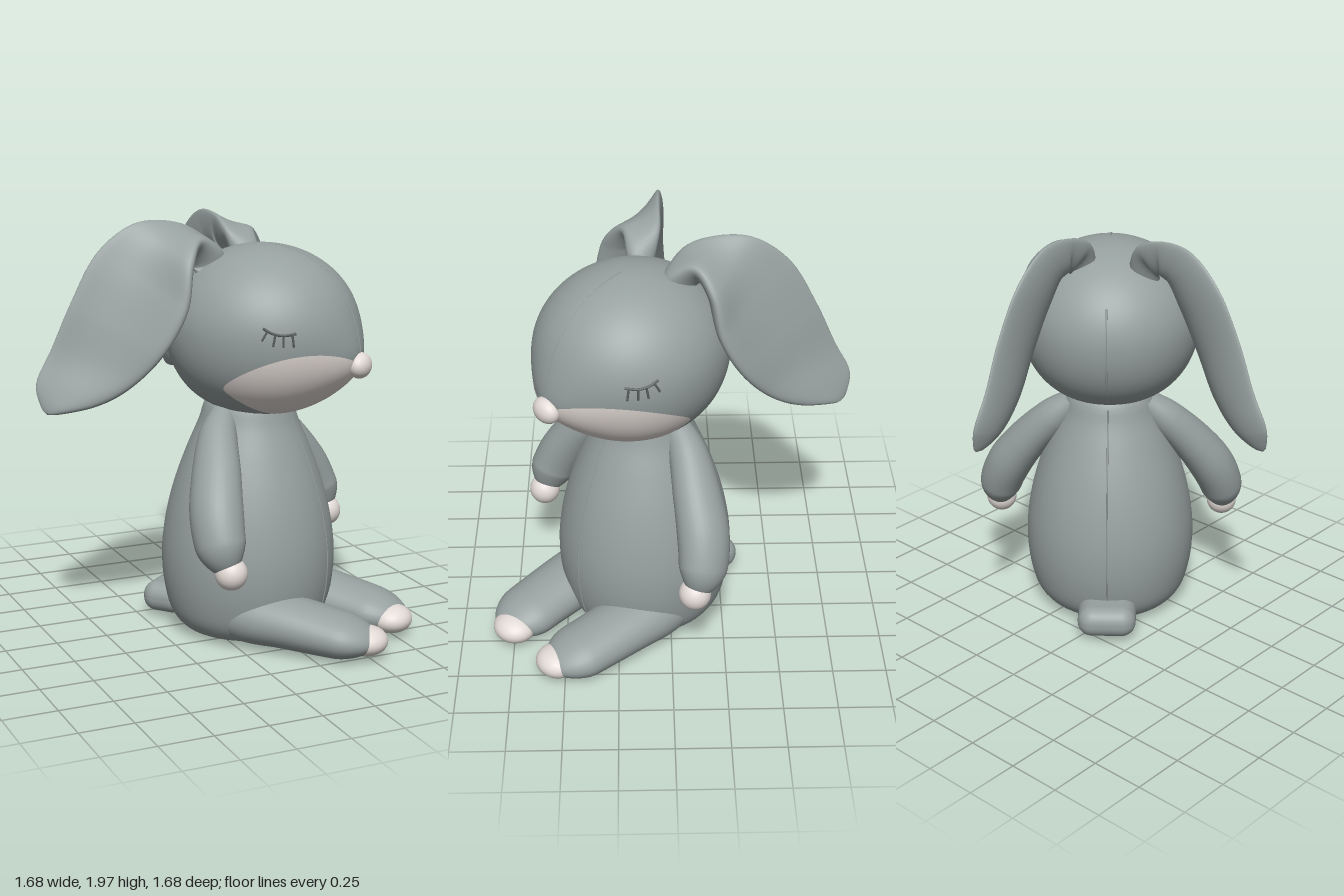
import * as THREE from 'three';
import { ParametricGeometry } from 'three/addons/geometries/ParametricGeometry.js';
import { RoundedBoxGeometry } from 'three/addons/geometries/RoundedBoxGeometry.js';

const V = (x, y, z) => new THREE.Vector3(x, y, z);
const curve = pts => new THREE.CatmullRomCurve3(pts.map(p => V(p[0], p[1], p[2])));
const steps = (a, b, n) => Array.from({ length: n + 1 }, (_, i) => a + (b - a) * i / n);

export function createModel() {
  const mat = (name, color) => {
    const m = new THREE.MeshStandardMaterial({ color });
    m.name = name;
    return m;
  };
  const fur = mat('grey plush', 0x96a09f);
  const cream = mat('cream plush', 0xe2dad6);
  const thread = mat('dark thread', 0x59625f);

  const model = new THREE.Group();
  model.name = 'plushRabbit';
  // The toy sits turned towards its left
  const turn = 40 * Math.PI / 180;
  const rabbit = new THREE.Group();
  rabbit.name = 'turnedRabbit';
  rabbit.rotation.y = turn;
  rabbit.position.set(0.06 * Math.cos(turn), 0, -0.06 * Math.sin(turn));
  model.add(rabbit);

  const add = (name, geometry, material, parent = rabbit) => {
    const mesh = new THREE.Mesh(geometry, material);
    mesh.name = name;
    parent.add(mesh);
    return mesh;
  };
  const ball = (name, material, pos, size) => {
    const mesh = add(name, new THREE.SphereGeometry(1, 32, 20), material);
    mesh.position.set(...pos);
    mesh.scale.set(...size);
  };
  const stitch = (name, pts, r, material) =>
    add(name, new THREE.TubeGeometry(new THREE.CatmullRomCurve3(pts), 60, r, 6), material);

  // Stuffed limb: elliptical sections along a path, rounded at the far end
  // Each section is [x, y, z, radius across, radius up]
  const limb = (sections, up, roundFrom) => {
    const path = curve(sections);
    const radii = curve(sections.map(s => [s[3], s[4], 0]));
    return new ParametricGeometry((u, v, out) => {
      const a = u * Math.PI * 2;
      const k = Math.max(0, (v - roundFrom) / (1 - roundFrom));
      const e = Math.sqrt(Math.max(0, 1 - k * k));
      const r = radii.getPoint(v), t = path.getTangent(v);
      const side = up.clone().cross(t).normalize();
      const top = t.clone().cross(side);
      out.copy(path.getPoint(v))
        .addScaledVector(side, Math.cos(a) * r.x * e)
        .addScaledVector(top, Math.sin(a) * r.y * e);
    }, 32, 48);
  };

  // Body: pear shape with a flat seat
  const profile = [[0.24, 0.015], [0.31, 0.035], [0.365, 0.1], [0.395, 0.2], [0.41, 0.32],
    [0.408, 0.45], [0.385, 0.6], [0.345, 0.75], [0.29, 0.9], [0.235, 1.03], [0.2, 1.13], [0.12, 1.2]];
  const outline = new THREE.SplineCurve(profile.map(p => new THREE.Vector2(...p))).getPoints(44);
  const body = add('body', new THREE.LatheGeometry([new THREE.Vector2(0, 0.015), ...outline], 64), fur);
  body.position.z = 0.21;
  for (const s of [1, -1]) {
    stitch(s > 0 ? 'bellySeam' : 'backSeam',
      outline.slice(8, 40).map(p => V(0, p.y, 0.21 + s * p.x)), 0.004, fur);
  }

  // Head: rounded form with a full jaw, pushed forward a little at the muzzle
  const headPoint = (phi, lat, out = V(0, 0, 0), lift = 1) => {
    const c = Math.max(0, Math.cos(lat)) ** (lat < 0 ? 0.76 : 1) * lift;
    const muzzle = 0.05 * Math.exp(-((phi / 0.5) ** 2) - ((lat + 0.38) / 0.4) ** 2);
    return out.set(0.43 * c * Math.sin(phi), 1.475 + (lat < 0 ? 0.395 : 0.387) * Math.sin(lat) * lift,
      0.275 + 0.455 * c * Math.cos(phi) + muzzle);
  };
  add('head', new ParametricGeometry((u, v, out) =>
    headPoint((u * 2 - 1) * Math.PI, (v - 0.5) * Math.PI, out), 128, 64), fur);

  // Cream cheeks: a thin patch between a curved upper and lower edge
  const cheekEdge = (t, s) =>
    -0.62 + s * Math.sqrt(1 - Math.abs(t) ** 3) * (0.26 + (s > 0 ? 0.9 : 1.6) * Math.abs(t) * (1 - Math.abs(t)));
  add('cheeks', new ParametricGeometry((u, v, out) => {
    const t = Math.sin((u - 0.5) * Math.PI);
    headPoint(t * 1.62, THREE.MathUtils.lerp(cheekEdge(t, -1), cheekEdge(t, 1), v), out, 1.005);
  }, 128, 32), cream);
  stitch('faceSeam', steps(-0.2, 1.45, 24).map(l => headPoint(0, l)), 0.004, fur);
  stitch('headBackSeam', steps(-0.9, 0.5, 20).map(l => headPoint(Math.PI, l)), 0.004, fur);
  ball('nose', cream, [0, 1.333, 0.762], [0.073, 0.06, 0.052]);

  // Closed eyes, arms and legs, mirrored left and right
  for (const s of [1, -1]) {
    const side = s > 0 ? 'left' : 'right';
    const onFace = ([phi, y]) => headPoint(s * phi, Math.asin((y - 1.475) / 0.387), undefined, 1.003);
    stitch(side + 'Eyelid', [[1.16, 1.54], [1.07, 1.518], [0.96, 1.508], [0.83, 1.515]].map(onFace), 0.006, thread);
    [[1.12, 1.525, 1.17, 1.485], [1.04, 1.51, 1.06, 1.46], [0.96, 1.508, 0.96, 1.455], [0.87, 1.512, 0.855, 1.455]]
      .forEach(([a, b, c, d]) => stitch(side + 'Eyelash', [[a, b], [c, d]].map(onFace), 0.005, thread));

    add(side + 'Arm', limb([
      [s * 0.17, 1.09, 0.16, 0.06, 0.06], [s * 0.27, 1.0, 0.18, 0.085, 0.09], [s * 0.4, 0.85, 0.235, 0.1, 0.115],
      [s * 0.5, 0.7, 0.285, 0.11, 0.124], [s * 0.55, 0.57, 0.33, 0.105, 0.117], [s * 0.56, 0.44, 0.38, 0.08, 0.085],
    ], V(0, 0, 1), 0.78), fur);
    ball(side + 'Hand', cream, [s * 0.557, 0.455, 0.385], [0.074, 0.075, 0.074]);

    add(side + 'Leg', limb([
      [s * 0.2, 0.17, 0.12, 0.14, 0.13], [s * 0.22, 0.15, 0.35, 0.16, 0.135], [s * 0.215, 0.14, 0.5, 0.16, 0.125],
      [s * 0.205, 0.12, 0.68, 0.157, 0.112], [s * 0.195, 0.105, 0.81, 0.157, 0.1], [s * 0.185, 0.09, 0.95, 0.145, 0.082],
    ], V(0, 1, 0), 0.74), fur);
    ball(side + 'Toes', cream, [s * 0.165, 0.09, 0.885], [0.105, 0.068, 0.1]);
  }

  // Tail: a squarish soft tuft
  add('tail', new RoundedBoxGeometry(0.28, 0.15, 0.22, 6, 0.07), fur).position.set(0, 0.105, -0.2);

  // Ears: bent, cupped ribbons spanned between a back edge and a rolled outer edge
  const backEdge = [[0.17, 1.72, 0], [0.13, 1.9, -0.06], [0.13, 1.96, -0.18], [0.13, 1.96, -0.36], [0.12, 1.84, -0.53],
    [0.12, 1.62, -0.66], [0.11, 1.4, -0.76], [0.11, 1.25, -0.84], [0.12, 1.15, -0.855]];
  const outerEdge = [[0.28, 1.68, 0.01], [0.28, 1.79, -0.02], [0.3, 1.86, -0.1], [0.38, 1.78, -0.17], [0.42, 1.6, -0.215],
    [0.4, 1.42, -0.31], [0.33, 1.27, -0.43], [0.25, 1.16, -0.58], [0.18, 1.1, -0.73]];
  for (const s of [1, -1]) {
    const place = ([x, y, z]) => s > 0 ? [x, y, z] : [z, y, x - 0.09];
    const a = curve(backEdge.map(place)), b = curve(outerEdge.map(place));
    const ear = new ParametricGeometry((u, v, out) => {
      const ang = u * Math.PI * 2;
      const k = Math.max(0, (v - 0.8) / 0.2), e = Math.sqrt(Math.max(0, 1 - k * k));
      const pa = a.getPoint(v), pb = b.getPoint(v);
      const half = pb.clone().sub(pa).multiplyScalar(0.5);
      const along = a.getTangent(v).add(b.getTangent(v)).normalize();
      const normal = along.cross(half).normalize();
      const thick = THREE.MathUtils.lerp(0.08, 0.045, v) * e * (1 + 0.35 * Math.cos(ang));
      const cup = s * 0.075 * Math.sin(Math.PI * v) * Math.sin(ang) ** 2;
      out.copy(pa).add(pb).multiplyScalar(0.5)
        .addScaledVector(half, Math.cos(ang) * e)
        .addScaledVector(normal, Math.sin(ang) * thick + cup);
    }, 48, 64);
    add(s > 0 ? 'leftEar' : 'rightEar', ear, fur, model);
  }
  return model;
}
